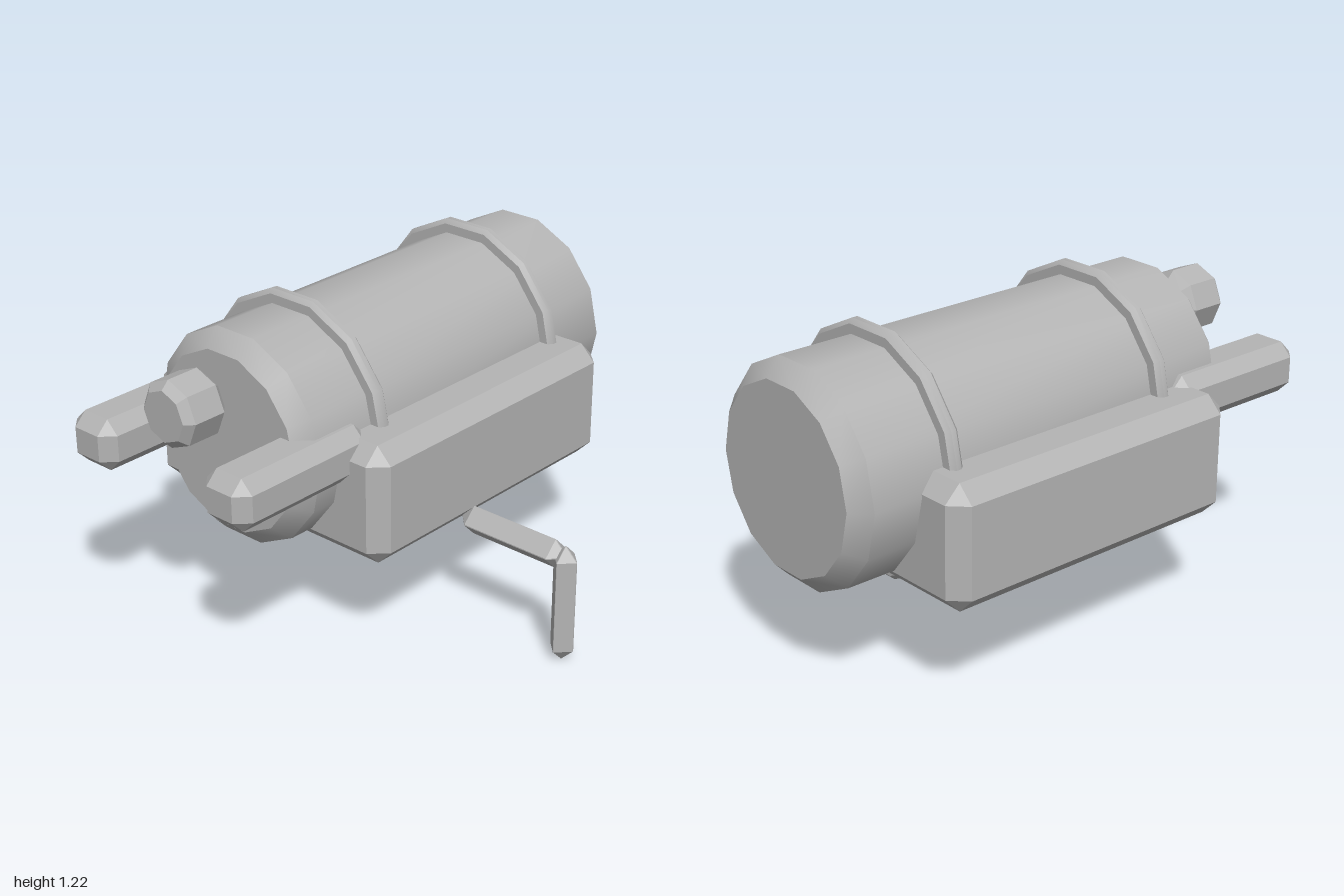
import * as THREE from 'three';
import { toCreasedNormals } from 'three/addons/utils/BufferGeometryUtils.js';
import { ConvexGeometry } from 'three/addons/geometries/ConvexGeometry.js';

const grey = new THREE.MeshStandardMaterial({ color: 0xb4b4b4 });
grey.name = 'grey';

// Box between two corners with every edge cut by c
function bevelBox(min, max, c) {
  const mid = min.map((v, i) => (v + max[i]) / 2);
  const half = min.map((v, i) => (max[i] - v) / 2);
  const points = [];
  for (const sx of [-1, 1]) for (const sy of [-1, 1]) for (const sz of [-1, 1]) {
    const s = [sx, sy, sz];
    for (let axis = 0; axis < 3; axis++) {
      const p = s.map((sign, i) => mid[i] + sign * (half[i] - (i === axis ? 0 : c)));
      points.push(new THREE.Vector3(...p));
    }
  }
  return new ConvexGeometry(points);
}

// Solid disc or drum along z with bevelled rims
function bevelDrum(radius, z0, z1, c, sides, flatTop) {
  const profile = [[0, z0], [radius - c, z0], [radius, z0 + c], [radius, z1 - c], [radius - c, z1], [0, z1]]
    .map(([r, z]) => new THREE.Vector2(r, z));
  const geometry = new THREE.LatheGeometry(profile, sides, flatTop ? Math.PI / sides : 0);
  geometry.rotateX(Math.PI / 2);
  if (flatTop) geometry.scale(1, 1 / Math.cos(Math.PI / sides), 1);
  return toCreasedNormals(geometry, 0.5);
}

export function createModel() {
  const group = new THREE.Group();
  const add = (name, geometry, x = 0, y = 0) => {
    const mesh = new THREE.Mesh(geometry, grey);
    mesh.name = name;
    mesh.position.set(x, y, 0);
    group.add(mesh);
  };
  const cx = -0.23, cy = 0.78;

  // Housing and the drum lying in it
  add('housing', bevelBox([-0.79, 0.4, -0.75], [0.33, 0.85, 0.5], 0.06));
  add('drum', bevelDrum(0.39, -1, 0.66, 0.062, 14, true), cx, cy);

  // Straps around the drum
  for (const [name, z] of [['frontStrap', 0.31], ['rearStrap', -0.625]])
    add(name, bevelDrum(0.44, z - 0.026, z + 0.026, 0.016, 14, true), cx, cy);

  // Forward bars on both sides
  for (const [name, x] of [['rightBar', -0.557], ['leftBar', 0.093]])
    add(name, bevelBox([x - 0.105, 0.692, 0.38], [x + 0.105, 0.885, 1], 0.048));

  // Front knob
  add('knob', bevelDrum(0.125, 0.747, 0.935, 0.03, 8, false), cx, 0.975);

  // Crank: side arm and hanging grip
  add('crankArm', bevelBox([0.28, 0.355, -0.055], [0.75, 0.465, 0.055], 0.053));
  add('crankGrip', bevelBox([0.692, 0, -0.05], [0.79, 0.455, 0.05], 0.048));
  return group;
}
